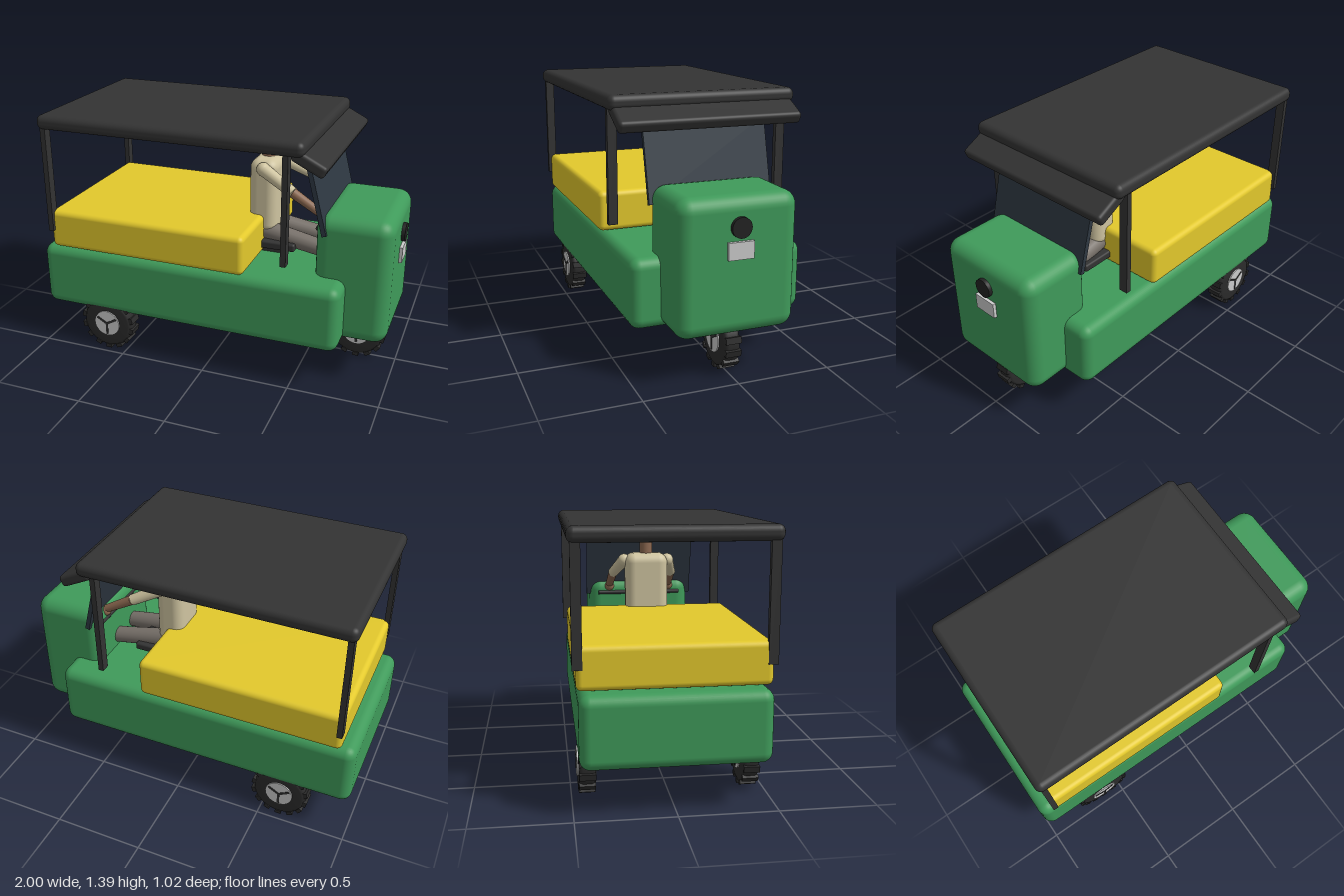
import * as THREE from 'three';
import { RoundedBoxGeometry } from 'three/addons/geometries/RoundedBoxGeometry.js';

const mat = (color) => new THREE.MeshStandardMaterial({ color });
const M = {
  green: mat(0x3f9a5a), yellow: mat(0xe3c92c), dark: mat(0x333333), tyre: mat(0x2b2b2b),
  metal: mat(0xbcbcbc), glass: mat(0x2e3842), shirt: mat(0xcfc4a0), skin: mat(0x8c6850),
  trousers: mat(0x78716a), hair: mat(0x2f211b), lamp: mat(0x222222),
};

function add(parent, name, geometry, material, x = 0, y = 0, z = 0) {
  const mesh = new THREE.Mesh(geometry, material);
  mesh.name = name;
  mesh.position.set(x, y, z);
  parent.add(mesh);
  return mesh;
}

// Rounded box given by its extents in x and y and its full depth in z
function block(parent, name, material, x0, x1, y0, y1, depth, radius) {
  const geo = new RoundedBoxGeometry(x1 - x0, y1 - y0, depth, 4, radius);
  return add(parent, name, geo, material, (x0 + x1) / 2, (y0 + y1) / 2, 0);
}

// Tapered round limb between two points
function limb(parent, name, material, from, to, r0, r1) {
  const a = new THREE.Vector3(...from), b = new THREE.Vector3(...to);
  const dir = b.clone().sub(a);
  const mesh = add(parent, name, new THREE.CylinderGeometry(r1, r0, dir.length(), 20), material);
  mesh.position.copy(a).add(b).multiplyScalar(0.5);
  mesh.quaternion.setFromUnitVectors(new THREE.Vector3(0, 1, 0), dir.normalize());
  return mesh;
}

function makeWheel(name, x, z) {
  const wheel = new THREE.Group();
  wheel.name = name;
  wheel.position.set(x, 0.165, z);
  // Tyre section revolved about the axle
  const section = [[0.07, -0.043], [0.13, -0.043], [0.145, -0.037], [0.152, -0.022],
    [0.152, 0.022], [0.145, 0.037], [0.13, 0.043], [0.07, 0.043]];
  const tyre = new THREE.LatheGeometry(section.map(([r, h]) => new THREE.Vector2(r, h)), 40);
  tyre.rotateX(Math.PI / 2);
  add(wheel, 'tyre', tyre, M.tyre).material.side = THREE.DoubleSide;
  // Tread blocks
  for (let i = 0; i < 14; i++) {
    const a = (i / 14) * Math.PI * 2 - Math.PI / 2;
    const lug = add(wheel, 'treadBlock', new THREE.BoxGeometry(0.022, 0.034, 0.084), M.tyre,
      Math.cos(a) * 0.153, Math.sin(a) * 0.153, 0);
    lug.rotation.z = a;
  }
  // Hub disc with three dark spokes on both faces
  const hub = new THREE.CylinderGeometry(0.078, 0.078, 0.1, 32).rotateX(Math.PI / 2);
  add(wheel, 'hub', hub, M.metal);
  for (let i = 0; i < 3; i++) {
    const a = Math.PI / 6 + (i * Math.PI * 2) / 3;
    const spoke = add(wheel, 'spoke', new THREE.BoxGeometry(0.07, 0.013, 0.106), M.dark,
      Math.cos(a) * 0.034, Math.sin(a) * 0.034, 0);
    spoke.rotation.z = a;
  }
  return wheel;
}

function makeDriver() {
  const driver = new THREE.Group();
  driver.name = 'driver';
  block(driver, 'torso', M.shirt, 0.135, 0.295, 0.72, 1.15, 0.25, 0.055);
  add(driver, 'neck', new THREE.CylinderGeometry(0.037, 0.037, 0.12, 24), M.skin, 0.215, 1.17, 0);
  add(driver, 'head', new THREE.SphereGeometry(0.08, 32, 20), M.skin, 0.215, 1.285, 0);
  add(driver, 'hair', new THREE.SphereGeometry(0.086, 32, 12, 0, Math.PI * 2, 0, Math.PI * 0.45),
    M.hair, 0.21, 1.288, 0).material.side = THREE.DoubleSide;
  for (const s of [-1, 1]) {
    const shoulder = [0.225, 1.105, s * 0.13], elbow = [0.41, 1.01, s * 0.18];
    const hand = [0.575, 0.915, s * 0.19];
    limb(driver, 'upperArm', M.shirt, shoulder, elbow, 0.037, 0.031);
    add(driver, 'shoulder', new THREE.SphereGeometry(0.038, 20, 14), M.shirt, ...shoulder);
    limb(driver, 'forearm', M.skin, elbow, hand, 0.028, 0.023);
    add(driver, 'hand', new THREE.SphereGeometry(0.03, 20, 14), M.skin, 0.58, 0.9, s * 0.19);
    limb(driver, 'thigh', M.trousers, [0.2, 0.735, s * 0.07], [0.58, 0.67, s * 0.09], 0.055, 0.047);
    add(driver, 'knee', new THREE.SphereGeometry(0.047, 20, 14), M.trousers, 0.58, 0.67, s * 0.09);
  }
  return driver;
}

export function createModel() {
  const model = new THREE.Group();
  model.name = 'threeWheeler';

  // Bodywork
  block(model, 'lowerBody', M.green, -1, 0.75, 0.24, 0.61, 0.94, 0.055);
  block(model, 'nose', M.green, 0.57, 0.98, 0.245, 0.95, 0.635, 0.075);
  block(model, 'rearBench', M.yellow, -0.925, 0.23, 0.615, 0.835, 0.955, 0.03);
  block(model, 'driverSeat', M.dark, 0.12, 0.42, 0.65, 0.695, 0.32, 0.012);
  add(model, 'seatBase', new THREE.BoxGeometry(0.2, 0.06, 0.2), M.dark, 0.26, 0.63, 0);

  // Roof, sun visor and posts
  block(model, 'roof', M.dark, -0.945, 0.55, 1.31, 1.39, 1.02, 0.034);
  const visor = block(model, 'visor', M.dark, 0.475, 0.665, 1.25, 1.315, 0.985, 0.02);
  visor.rotation.z = -0.47;
  for (const x of [-0.912, 0.455]) {
    for (const z of [-0.47, 0.47]) {
      add(model, 'roofPost', new THREE.BoxGeometry(0.03, 0.61, 0.05), M.dark, x, 1.025, z);
    }
  }

  // Windscreen and handlebar
  const screen = add(model, 'windscreen', new THREE.BoxGeometry(0.025, 0.41, 0.67), M.glass, 0.575, 1.048, 0);
  screen.rotation.z = 0.25;
  limb(model, 'handlebar', M.dark, [0.575, 0.86, -0.26], [0.575, 0.86, 0.26], 0.013, 0.013);

  // Headlamp and plate on the nose
  const lamp = new THREE.CylinderGeometry(0.052, 0.052, 0.04, 32).rotateZ(Math.PI / 2);
  add(model, 'headlamp', lamp, M.lamp, 0.98, 0.8, 0);
  add(model, 'blankPlate', new THREE.BoxGeometry(0.03, 0.088, 0.135), M.metal, 0.982, 0.687, 0);

  // One front wheel, two rear wheels
  model.add(makeWheel('frontWheel', 0.775, 0));
  model.add(makeWheel('rearLeftWheel', -0.61, 0.42));
  model.add(makeWheel('rearRightWheel', -0.61, -0.42));

  model.add(makeDriver());
  return model;
}
